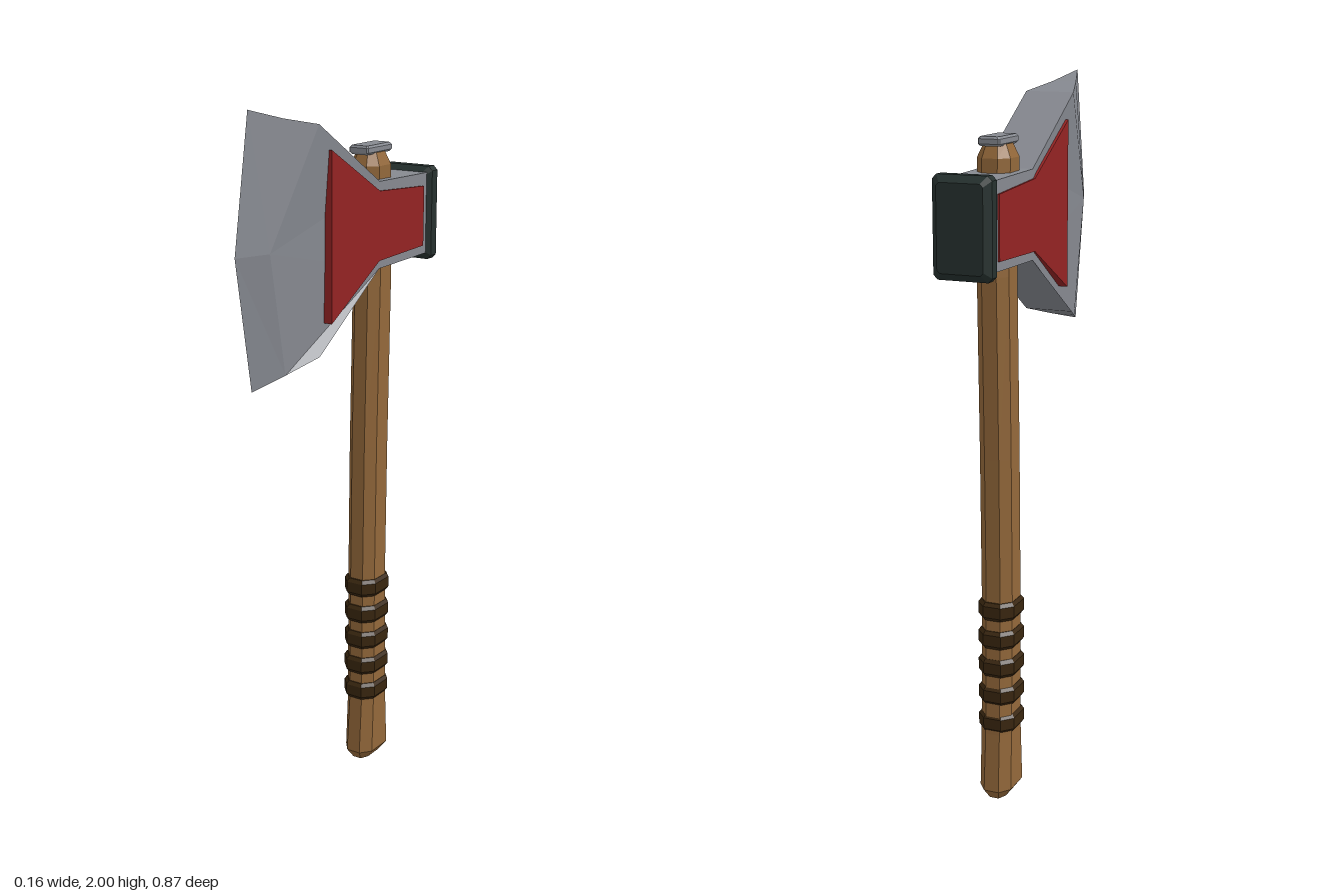
import * as THREE from 'three';

const mat = (name, color) => {
  const m = new THREE.MeshStandardMaterial({ color, flatShading: true });
  m.name = name;
  return m;
};

// Flat-shaded geometry from convex polygons, each an array of [x, y, z] corners
function fromPolygons(polygons) {
  const out = [];
  for (const p of polygons) {
    for (let i = 1; i < p.length - 1; i++) out.push(...p[0], ...p[i], ...p[i + 1]);
  }
  const g = new THREE.BufferGeometry();
  g.setAttribute('position', new THREE.Float32BufferAttribute(out, 3));
  g.computeVertexNormals();
  return g;
}

// Stack of chamfered rectangles along y: [y, centreZ, halfX, halfZ, chamferX, chamferZ]
function loft(sections) {
  const rings = sections.map(([y, cz, a, b, cx, cb]) => [
    [a, b - cb], [a, cb - b], [a - cx, -b], [cx - a, -b],
    [-a, cb - b], [-a, b - cb], [cx - a, b], [a - cx, b],
  ].map(([x, z]) => [x, y, cz + z]));
  const polys = [[...rings[0]].reverse(), rings[rings.length - 1]];
  for (let r = 0; r < rings.length - 1; r++) {
    for (let i = 0; i < 8; i++) {
      const j = (i + 1) % 8;
      polys.push([rings[r][i], rings[r][j], rings[r + 1][j], rings[r + 1][i]]);
    }
  }
  return fromPolygons(polys);
}

// Axe head: flat-sided eye, flaring cheeks and a bevelled cutting edge
function headGeometry() {
  const P = [
    [0.07, 1.535, -0.385], [0.07, 1.765, -0.385], // poll
    [0.07, 1.53, -0.13], [0.07, 1.77, -0.13],     // neck
    [0.07, 1.34, 0.16], [0.07, 1.95, 0.16],       // cheek corners
    [0.035, 1.308, 0.268], [0.037, 1.64, 0.333], [0.035, 1.972, 0.268], // bevel line
    [0, 1.28, 0.37], [0, 1.64, 0.432], [0, 2, 0.37], // cutting edge
  ];
  const flip = ([x, y, z]) => [-x, y, z];
  const side = [
    [0, 1, 3, 2], [3, 5, 7], [5, 8, 7], [2, 3, 7], [2, 7, 6], [2, 6, 4],
    [7, 8, 11, 10], [6, 7, 10, 9],
  ].map((f) => f.map((i) => P[i]));
  const polys = [...side, ...side.map((f) => f.map(flip).reverse())];
  // top and underside strips joining the two cheeks
  const across = (a, b) => [P[a], flip(P[a]), flip(P[b]), P[b]];
  for (const [a, b] of [[1, 3], [3, 5], [5, 8]]) polys.push(across(a, b));
  for (const [a, b] of [[0, 2], [2, 4], [4, 6]]) polys.push(across(a, b).reverse());
  polys.push([P[8], flip(P[8]), P[11]], [flip(P[6]), P[6], P[9]]);
  polys.push([P[0], flip(P[0]), flip(P[1]), P[1]]);
  return fromPolygons(polys);
}

export function createModel() {
  const steel = mat('steel', 0x868990);
  const red = mat('red paint', 0x932323);
  const wood = mat('wood', 0x93683a);
  const leather = mat('dark leather', 0x39260f);
  const iron = mat('dark iron', 0x26312f);

  const group = new THREE.Group();
  const add = (name, geometry, material) => {
    const mesh = new THREE.Mesh(geometry, material);
    mesh.name = name;
    group.add(mesh);
    return mesh;
  };

  // Gently curved handle with a flared foot
  add('handle', loft([
    [0, -0.191, 0.025, 0.052, 0.012, 0.025],
    [0.03, -0.191, 0.047, 0.073, 0.025, 0.032],
    [0.2, -0.191, 0.046, 0.061, 0.025, 0.028],
    [0.6, -0.187, 0.046, 0.055, 0.025, 0.026],
    [1.0, -0.192, 0.046, 0.055, 0.025, 0.026],
    [1.5, -0.204, 0.046, 0.054, 0.025, 0.026],
    [1.7, -0.196, 0.046, 0.055, 0.025, 0.026],
    [1.805, -0.193, 0.047, 0.056, 0.025, 0.026],
    [1.84, -0.193, 0.032, 0.04, 0.016, 0.018],
  ]), wood);

  // Grip wraps
  for (let i = 0; i < 5; i++) {
    const y = 0.232 + i * 0.0835;
    add('gripWrap' + (i + 1), loft([
      [y - 0.026, -0.187, 0.047, 0.06, 0.025, 0.028],
      [y - 0.016, -0.187, 0.054, 0.067, 0.028, 0.031],
      [y + 0.016, -0.187, 0.054, 0.067, 0.028, 0.031],
      [y + 0.026, -0.187, 0.047, 0.06, 0.025, 0.028],
    ]), leather);
  }

  add('head', headGeometry(), steel);

  // Painted panel, standing proud of both cheeks
  const outline = [
    [0.11, 1.42], [0.11, 1.88], [-0.125, 1.745], [-0.357, 1.73], [-0.357, 1.56], [-0.125, 1.553],
  ];
  const shape = new THREE.Shape(outline.map(([z, y]) => new THREE.Vector2(-z, y)));
  const panel = new THREE.ExtrudeGeometry(shape, { depth: 0.15, bevelEnabled: false });
  panel.translate(0, 0, -0.075).rotateY(Math.PI / 2);
  add('cheekPanels', panel, red);

  // Chamfered hammer cap at the back
  const cap = add('hammerCap', loft([
    [-0.031, 0, 0.064, 0.114, 0.008, 0.008],
    [-0.014, 0, 0.082, 0.133, 0.012, 0.012],
    [0.014, 0, 0.082, 0.133, 0.012, 0.012],
    [0.031, 0, 0.064, 0.114, 0.008, 0.008],
  ]), iron);
  cap.rotation.x = -Math.PI / 2;
  cap.position.set(0, 1.648, -0.403);

  // Steel wedge on top of the handle
  add('wedge', loft([
    [1.836, -0.193, 0.026, 0.058, 0.004, 0.004],
    [1.842, -0.193, 0.031, 0.063, 0.004, 0.004],
    [1.855, -0.193, 0.031, 0.063, 0.004, 0.004],
    [1.861, -0.193, 0.026, 0.058, 0.004, 0.004],
  ]), steel);

  return group;
}
